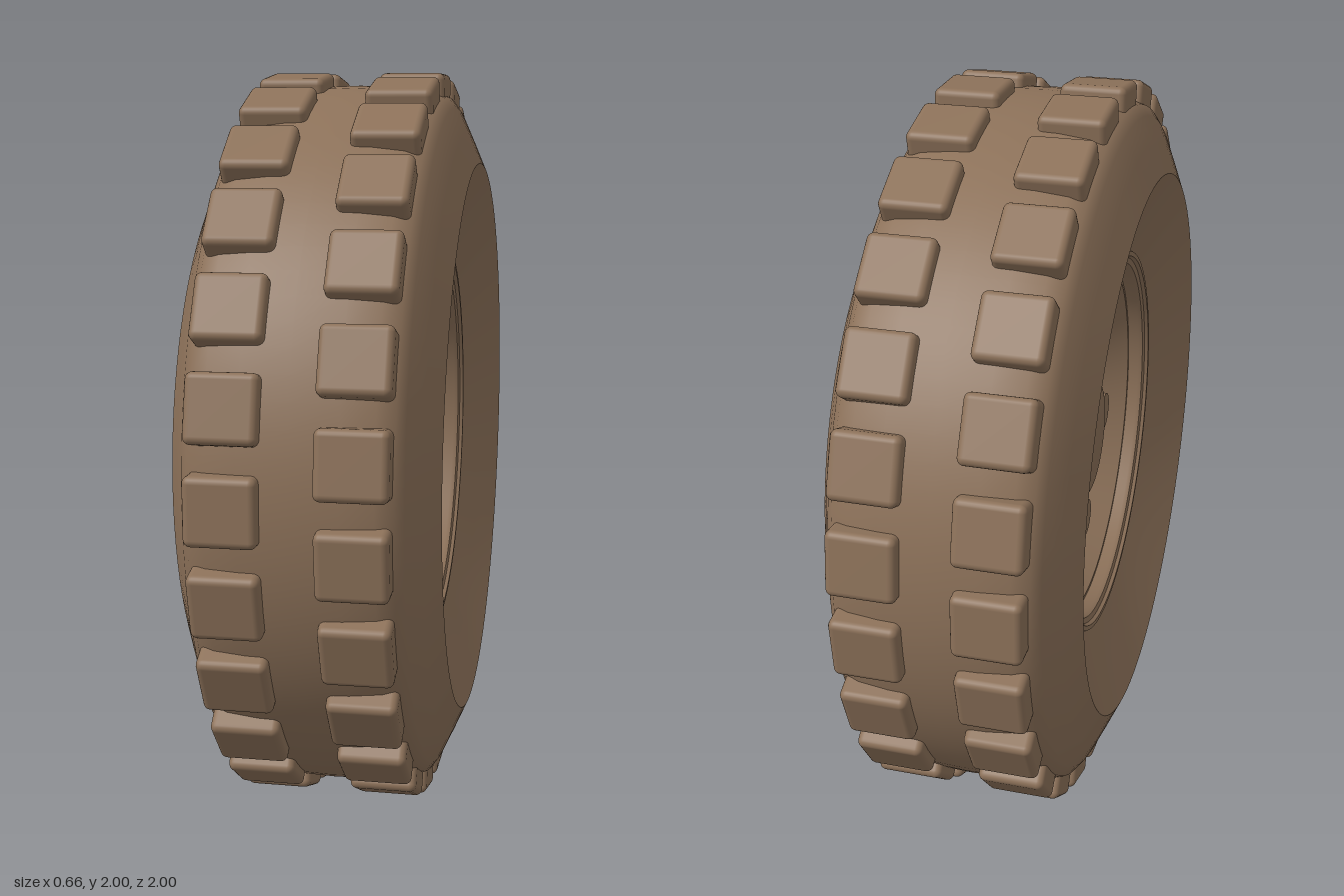
import * as THREE from 'three';
import { toCreasedNormals } from 'three/addons/utils/BufferGeometryUtils.js';
import { RoundedBoxGeometry } from 'three/addons/geometries/RoundedBoxGeometry.js';

const brown = new THREE.MeshStandardMaterial({ color: 0x8c7159 });
brown.name = 'brown';

export function createModel() {
  const model = new THREE.Group();
  model.name = 'offRoadWheel';
  const wheel = new THREE.Group();
  wheel.name = 'wheel';
  wheel.position.y = 1; // axle height
  model.add(wheel);

  function add(name, geometry, parent = wheel) {
    const mesh = new THREE.Mesh(geometry, brown);
    mesh.name = name;
    parent.add(mesh);
    return mesh;
  }

  // Turned part around the x axle; points are [radius, x]
  function turned(points, crease = 0.4) {
    const profile = points.map(([r, x]) => new THREE.Vector2(r, x));
    const geometry = new THREE.LatheGeometry(profile, 96).rotateZ(-Math.PI / 2);
    return toCreasedNormals(geometry, crease);
  }

  // Disc or prism along x, from x0 to x1
  function peg(radius, x0, x1, sides) {
    const geometry = new THREE.CylinderGeometry(radius, radius, x1 - x0, sides);
    geometry.rotateZ(-Math.PI / 2).translate((x0 + x1) / 2, 0, 0);
    return sides > 8 ? geometry : toCreasedNormals(geometry, 0.4);
  }

  // Place a mesh on a circle in the wheel plane, angle from +z towards +y
  function onCircle(mesh, radius, angle) {
    mesh.position.z = radius * Math.cos(angle);
    mesh.position.y = radius * Math.sin(angle);
    mesh.rotation.x = -angle;
  }

  // Tyre: outer half profile mirrored over the tread centre
  const half = [[0.54, 0.23], [0.65, 0.277], [0.76, 0.33], [0.84, 0.295], [0.91, 0.263],
    [0.938, 0.243], [0.955, 0.2], [0.965, 0.12], [0.969, 0]];
  const mirrored = half.map(([r, x]) => [r, -x]);
  add('tyre', turned([...mirrored, ...half.slice(0, -1).reverse()], 0.6));

  // Rim: both lips and the bore between them
  const lip = [[0.54, 0.225], [0.538, 0.236], [0.525, 0.236], [0.52, 0.226], [0.505, 0.222], [0.5, 0.21]];
  add('rim', turned([...lip, ...lip.map(([r, x]) => [r, -x]).reverse()]));

  // Pressed wheel disc, dished towards -x, with a shallow hub recess on +x
  add('wheelDisc', turned([
    [0, -0.13], [0.17, -0.13], [0.17, -0.11], [0.445, -0.11], [0.49, -0.18], [0.505, -0.18],
    [0.505, -0.17], [0.455, -0.1], [0.165, -0.1], [0.165, -0.115], [0, -0.115],
  ]));

  // Hub cap on the -x side
  add('hubCap', turned([
    [0, -0.182], [0.152, -0.182], [0.16, -0.179], [0.163, -0.172], [0.163, -0.125], [0, -0.125],
  ], 0.9));

  // Five small hex nuts in the hub recess
  const nutGeometry = peg(0.028, -0.12, -0.1, 6);
  const nuts = new THREE.Group();
  nuts.name = 'hubNuts';
  wheel.add(nuts);
  for (let i = 0; i < 5; i++) {
    onCircle(add('hubNut', nutGeometry, nuts), 0.135, Math.PI / 2 + i * Math.PI * 2 / 5);
  }

  // Six large bolt heads on the -x face of the disc
  const boltGeometry = peg(0.056, -0.145, -0.105, 24);
  const bolts = new THREE.Group();
  bolts.name = 'wheelBolts';
  wheel.add(bolts);
  for (let i = 0; i < 6; i++) {
    onCircle(add('wheelBolt', boltGeometry, bolts), 0.335, (47 + i * 60) * Math.PI / 180);
  }

  // Two staggered rows of tread blocks
  const count = 26;
  const blockGeometry = new RoundedBoxGeometry(0.175, 0.168, 0.1, 3, 0.018);
  for (const side of [1, -1]) {
    const row = new THREE.Group();
    row.name = side > 0 ? 'leftTreadRow' : 'rightTreadRow';
    wheel.add(row);
    for (let i = 0; i < count; i++) {
      const block = add('treadBlock', blockGeometry, row);
      block.position.x = side * 0.152;
      onCircle(block, 0.95, (i + (side > 0 ? 0.5 : 0)) * Math.PI * 2 / count);
    }
  }

  return model;
}
